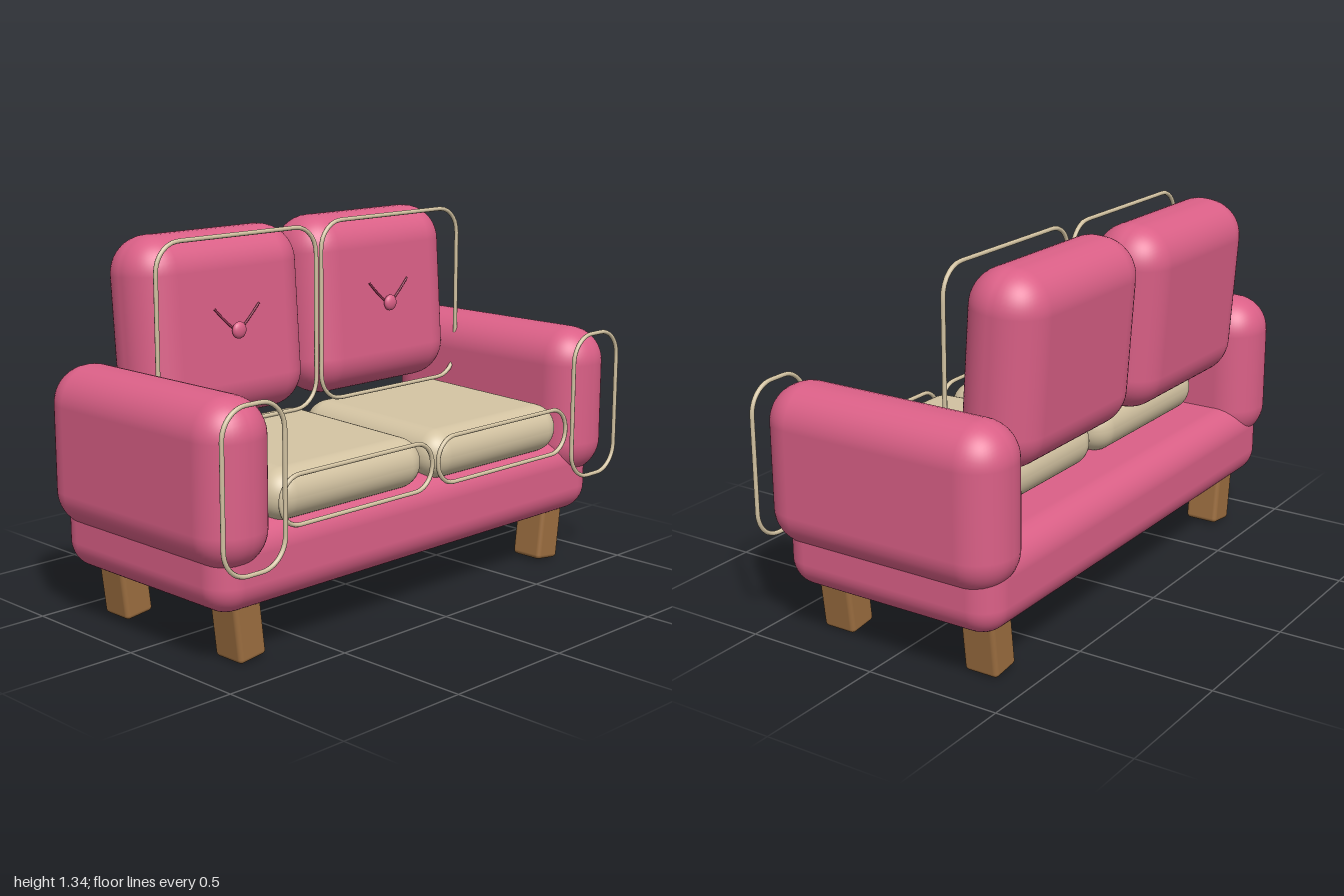
import * as THREE from 'three';
import { RoundedBoxGeometry } from 'three/addons/geometries/RoundedBoxGeometry.js';

const material = (name, color) => {
  const m = new THREE.MeshStandardMaterial({ color });
  m.name = name;
  return m;
};

export function createModel() {
  const sofa = new THREE.Group();
  sofa.name = 'sofa';
  const pink = material('pink fabric', 0xdb6087);
  const cream = material('cream fabric', 0xd3c3a2);
  const wood = material('wood', 0x9c6e40);
  const crease = material('crease thread', 0xa03c5c);

  const add = (name, geometry, mat, x, y, z) => {
    const mesh = new THREE.Mesh(geometry, mat);
    mesh.name = name;
    mesh.position.set(x, y, z);
    sofa.add(mesh);
    return mesh;
  };
  const softBox = (name, mat, size, radius, pos) =>
    add(name, new RoundedBoxGeometry(...size, 6, radius), mat, ...pos);

  // Closed rounded-rectangle piping, standing in the xy plane
  const piping = (name, w, h, r, pos) => {
    const x = w / 2 - r, y = h / 2 - r, s = new THREE.Shape();
    s.absarc(x, y, r, 0, Math.PI / 2);
    s.absarc(-x, y, r, Math.PI / 2, Math.PI);
    s.absarc(-x, -y, r, Math.PI, Math.PI * 1.5);
    s.absarc(x, -y, r, Math.PI * 1.5, Math.PI * 2);
    s.closePath();
    const points = s.getSpacedPoints(80).slice(0, -1).map(p => new THREE.Vector3(p.x, p.y, 0));
    const path = new THREE.CatmullRomCurve3(points, true);
    add(name, new THREE.TubeGeometry(path, 120, 0.008, 8, true), cream, ...pos);
  };

  // Upholstered base
  softBox('base', pink, [1.9, 0.295, 0.86], 0.1, [0, 0.337, -0.02]);

  for (const side of [-1, 1]) {
    const label = side > 0 ? 'left' : 'right';

    // Armrest with its piping
    softBox(label + 'Arm', pink, [0.275, 0.565, 0.935], 0.132, [side * 0.861, 0.623, -0.008]);
    piping(label + 'ArmPiping', 0.26, 0.545, 0.1, [side * 0.861, 0.624, 0.467]);

    // Seat cushion, a little higher at the back
    const seat = softBox(label + 'Seat', cream, [0.715, 0.18, 0.7], 0.088, [side * 0.37, 0.558, 0.08]);
    seat.rotation.x = 0.035;
    piping(label + 'SeatPiping', 0.71, 0.168, 0.082, [side * 0.37, 0.545, 0.44]);

    // Leaning back cushion
    const y = side > 0 ? 1.002 : 0.992;
    const back = softBox(label + 'Back', pink, [0.75, 0.67, 0.29], 0.135, [side * 0.382, y, -0.305]);
    back.rotation.x = -0.07;
    piping(label + 'BackPiping', 0.735, 0.66, 0.1, [side * 0.38, y, -0.138]);

    // Tufting button and the two creases running from it
    const button = add(label + 'Button', new THREE.SphereGeometry(0.03, 20, 14), pink, side * 0.38, y - 0.005, -0.142);
    button.scale.z = 0.55;
    for (const dir of [-1, 1]) {
      const curve = new THREE.QuadraticBezierCurve3(
        new THREE.Vector3(dir * 0.015, 0.005, 0),
        new THREE.Vector3(dir * 0.042, 0.02, 0),
        new THREE.Vector3(dir * 0.103, 0.084, -0.003));
      add(label + 'Crease', new THREE.TubeGeometry(curve, 12, 0.004, 6), crease, side * 0.38, y - 0.005, -0.15);
    }

    // Legs, leaning inward at the foot
    for (const z of [0.28, -0.315]) {
      const leg = softBox(label + 'Leg', wood, [0.115, 0.24, 0.13], 0.016, [side * 0.775, 0.126, z]);
      leg.rotation.z = -side * 0.12;
    }
  }
  return sofa;
}
